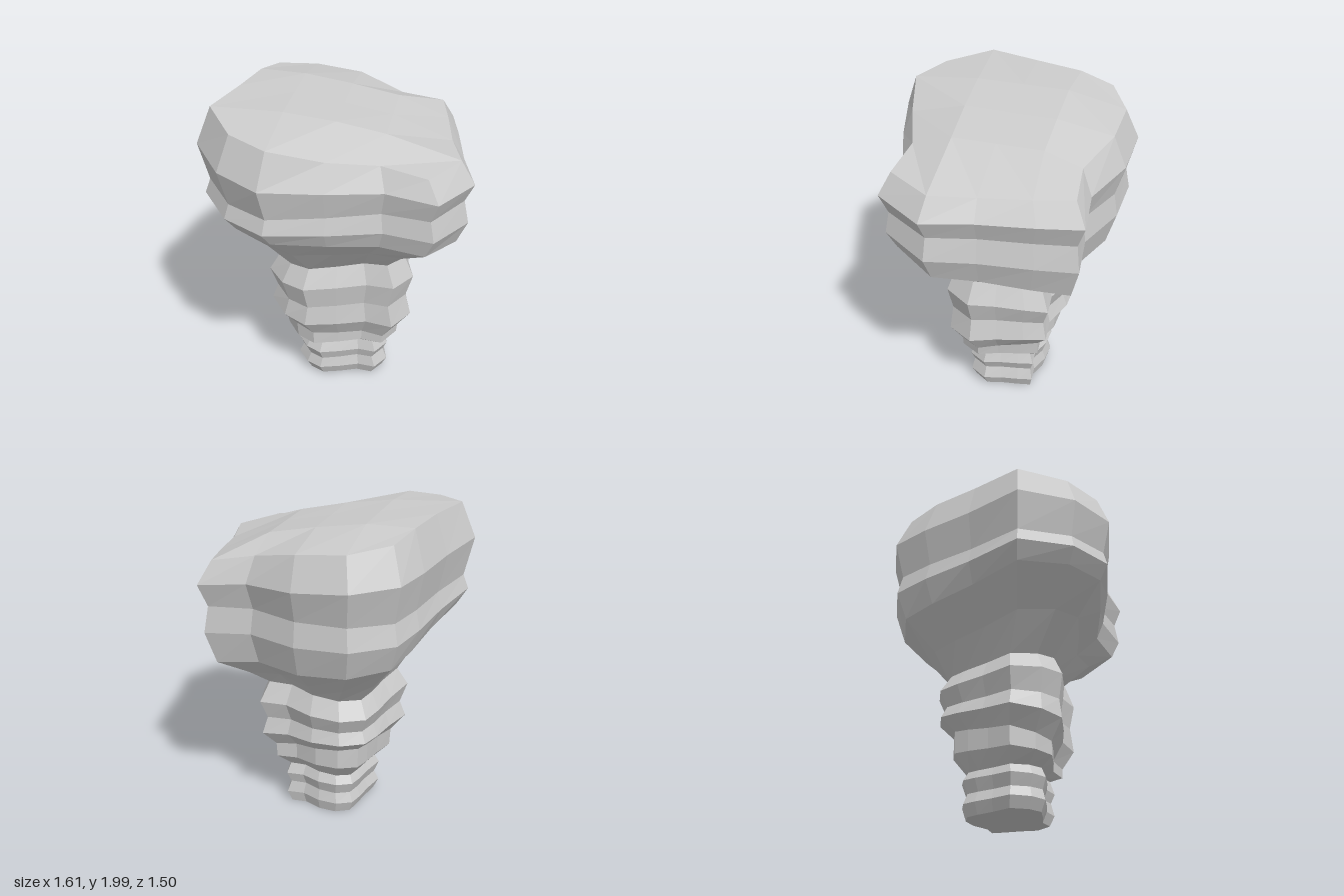
import * as THREE from 'three';

// Plan of the widest ring as [x, z], from the front right corner, counter-clockwise from above
const OUTLINE = [
  [-0.6, 0.61], [-0.34, 0.745], [0, 0.645], [0.32, 0.52],
  [0.62, 0.55], [0.8, 0.245], [0.72, -0.05], [0.665, -0.38],
  [0.61, -0.635], [0.32, -0.605], [0, -0.735], [-0.33, -0.75],
  [-0.58, -0.61], [-0.65, -0.37], [-0.71, -0.04], [-0.805, 0.32],
];
const N = OUTLINE.length;

// Rings from bottom to top: half width, half depth, z shift, height, slope along x, slope along z
const RINGS = [
  [0.27, 0.24, -0.045, 0.015, 0, 0.02],
  [0.303, 0.265, -0.04, 0.085, 0, 0],
  [0.273, 0.245, -0.04, 0.155, 0.025, 0],
  [0.303, 0.27, -0.04, 0.225, 0, -0.02],
  [0.275, 0.24, -0.04, 0.29, 0.045, 0],
  [0.365, 0.32, -0.04, 0.36, -0.02, -0.08],
  [0.372, 0.32, -0.04, 0.455, -0.1, -0.15],
  [0.458, 0.40, -0.04, 0.565, -0.055, -0.07],
  [0.42, 0.375, -0.035, 0.68, 0, 0],
  [0.465, 0.41, -0.04, 0.815, 0.027, 0.065],
  [0.4, 0.35, -0.04, 0.94, 0.069, 0.1],
  [0.53, 0.49, 0, 1.09, -0.02, 0.17],
  [0.722, 0.663, 0, 1.245, -0.087, 0.13],
  [0.785, 0.72, 0, 1.39, -0.054, 0.05],
  [0.753, 0.695, 0, 1.515, -0.023, 0.02],
  [0.805, 0.747, 0, 1.695, -0.097, 0.01],
];

// Heights of the crown on a 5 x 5 grid, front row first
const CROWN = [
  [1.965, 1.945, 1.86, 1.81, 1.765],
  [2.0, 1.985, 1.945, 1.885, 1.755],
  [2.0, 1.985, 1.94, 1.885, 1.745],
  [1.99, 1.985, 1.94, 1.885, 1.755],
  [1.95, 1.91, 1.88, 1.81, 1.765],
];

function ringPoints([halfW, halfD, shift, y, slopeX, slopeZ]) {
  return OUTLINE.map(([ox, oz]) => {
    const x = ox * halfW / 0.805 + 0.008 * (1 - halfW / 0.805);
    const z = oz * halfD / 0.747 + shift;
    return [x, y + slopeX * x + slopeZ * z, z];
  });
}

// Index on the outline of a border cell of the crown grid
function borderIndex(r, c) {
  if (r === 0) return c;
  if (c === 4) return 4 + r;
  if (r === 4) return 12 - c;
  if (c === 0) return N - r;
  return -1;
}

function crownPoint(r, c) {
  const edge = (i) => OUTLINE[i].map((v) => v * 0.892);
  const i = borderIndex(r, c);
  if (i >= 0) {
    const [x, z] = edge(i);
    return [x, CROWN[r][c], z];
  }
  // Inner points blend the opposite borders
  const x = THREE.MathUtils.lerp(edge(c)[0], edge(12 - c)[0], r / 4);
  const z = THREE.MathUtils.lerp(edge(N - r)[1], edge(4 + r)[1], c / 4);
  return [x, CROWN[r][c], z * 0.95];
}

function facetedMesh(name, triangles) {
  const geometry = new THREE.BufferGeometry();
  geometry.setAttribute('position', new THREE.Float32BufferAttribute(triangles.flat(2), 3));
  geometry.computeVertexNormals();
  const mesh = new THREE.Mesh(geometry,
    new THREE.MeshStandardMaterial({ color: 0xcccccc, flatShading: true }));
  mesh.name = name;
  return mesh;
}

const quad = (a, b, c, d) => [[a, b, c], [a, c, d]];

export function createModel() {
  const group = new THREE.Group();
  group.name = 'ribbedStalk';

  // Ribbed side wall, closed above by the rim of the crown
  const rings = RINGS.map(ringPoints);
  const rim = [];
  for (let r = 0; r < 5; r++) {
    for (let c = 0; c < 5; c++) {
      const i = borderIndex(r, c);
      if (i >= 0) rim[i] = crownPoint(r, c);
    }
  }
  rings.push(rim);
  const wall = [];
  for (let k = 0; k < rings.length - 1; k++) {
    for (let i = 0; i < N; i++) {
      const j = (i + 1) % N;
      wall.push(...quad(rings[k][i], rings[k][j], rings[k + 1][j], rings[k + 1][i]));
    }
  }
  group.add(facetedMesh('ribbedWall', wall));

  // Gently sloping crown
  const crown = [];
  for (let r = 0; r < 4; r++) {
    for (let c = 0; c < 4; c++) {
      crown.push(...quad(crownPoint(r, c), crownPoint(r, c + 1),
        crownPoint(r + 1, c + 1), crownPoint(r + 1, c)));
    }
  }
  group.add(facetedMesh('crown', crown));

  // Flat foot
  const foot = rings[0].map((p, i) => [[0, 0.015, -0.045], rings[0][(i + 1) % N], p]);
  group.add(facetedMesh('foot', foot));

  // Stand the model on the ground
  const box = new THREE.Box3().setFromObject(group);
  group.children.forEach((m) => m.geometry.translate(0, -box.min.y, 0));
  return group;
}
